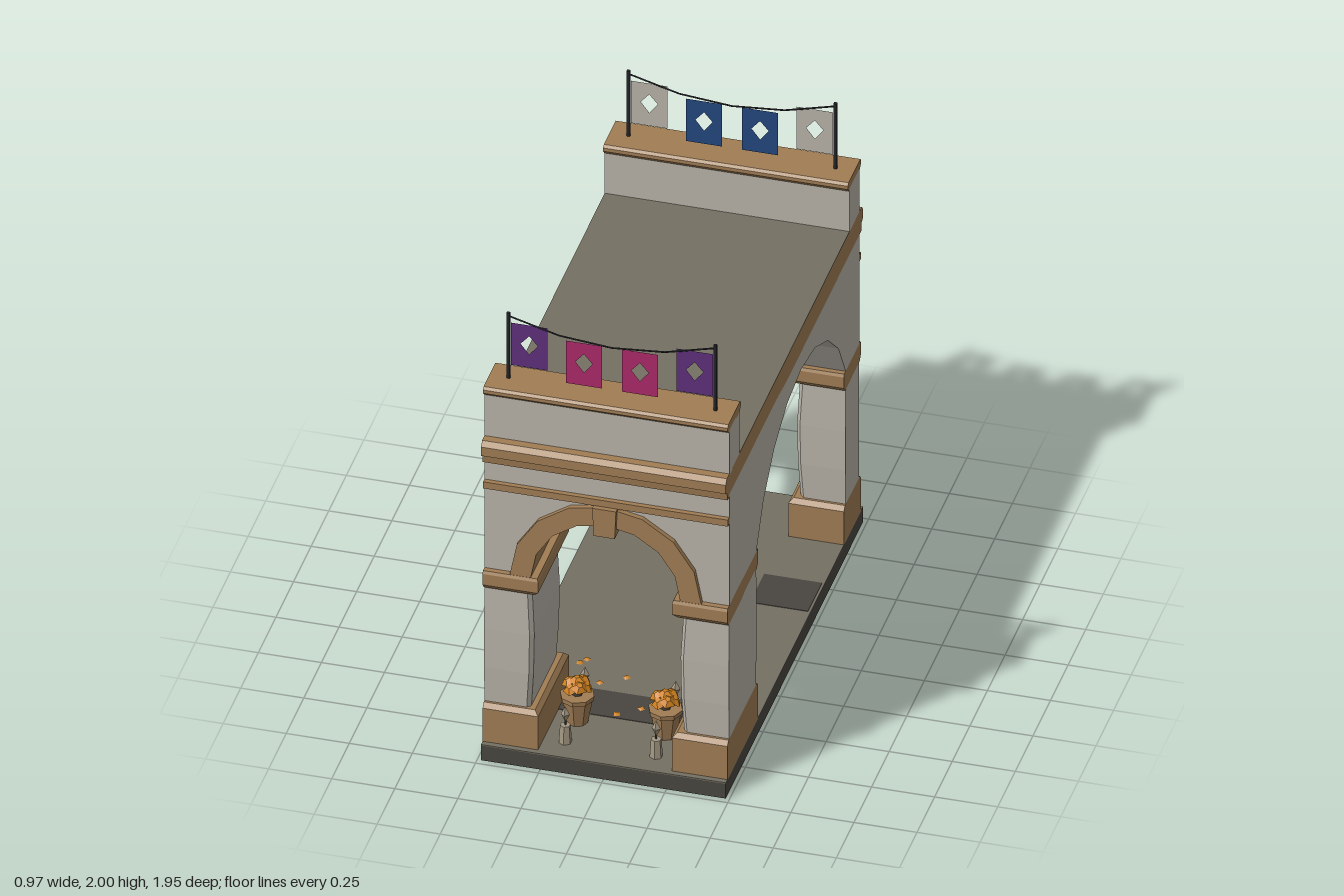
import * as THREE from 'three';

const D = THREE.DoubleSide;
const mat = (name, color, side = D) => {
  const m = new THREE.MeshStandardMaterial({ color, side });
  m.name = name;
  return m;
};

export function createModel() {
  const root = new THREE.Group();
  root.name = 'archway';
  const stone = mat('pale stone', 0xb8b3a9), tan = mat('tan trim', 0xa07d54);
  const dark = mat('dark stone', 0x494640), paving = mat('paving', 0x757063);
  const purple = mat('purple cloth', 0x5f307a), magenta = mat('magenta cloth', 0xac2a6a);
  const blue = mat('blue cloth', 0x24467e), iron = mat('black iron', 0x24242a);
  const orange = mat('orange petals', 0xd0821f), wax = mat('candle wax', 0xa39783);

  const W = 0.485, WALL = 0.925, SPRING = 0.855, TOP = 1.37;

  const add = (name, geo, material, x = 0, y = 0, z = 0, parent = root) => {
    const m = new THREE.Mesh(geo, material);
    m.name = name;
    m.position.set(x, y, z);
    parent.add(m);
    return m;
  };
  const box = (name, m, x, y, z, w, h, d) => add(name, new THREE.BoxGeometry(w, h, d), m, x, y, z);
  // flat-shaded surface from a list of four-cornered faces
  const quads = faces => {
    const p = [];
    for (const [a, b, c, d] of faces) p.push(...a, ...b, ...c, ...a, ...c, ...d);
    const g = new THREE.BufferGeometry();
    g.setAttribute('position', new THREE.Float32BufferAttribute(p, 3));
    g.computeVertexNormals();
    return g;
  };
  const shapeOf = pts => new THREE.Shape(pts.map(p => new THREE.Vector2(p[0], p[1])));
  // full-width moulding from a (z, y) profile
  const moulding = (name, profile, m) => {
    const g = new THREE.ExtrudeGeometry(shapeOf(profile.map(([z, y]) => [-z, y])), { depth: 2 * W, bevelEnabled: false });
    g.rotateY(Math.PI / 2);
    return add(name, g, m, -W, 0, 0);
  };

  // Plinth and paving
  box('plinth', dark, 0, 0.034, 0, 2 * W, 0.068, 1.95);
  box('paving', paving, 0, 0.07, 0, 2 * W, 0.005, 1.95);
  box('floorPatch', dark, 0.36, 0.073, -0.33, 0.23, 0.003, 0.2);
  box('floorPatch', dark, 0, 0.073, 0.58, 0.74, 0.003, 0.17);

  // Piers: stacked sections [y, inner x, z0, z1], inner corners chamfered by c
  const loft = (name, s, c, rows, m) => {
    const rings = rows.map(([y, x, z0, z1]) => [
      [W, z0], [x + c, z0], [x, z0 + c], [x, z1 - c], [x + c, z1], [W, z1],
    ].map(([px, pz]) => [s * px, y, pz]));
    const faces = [];
    for (let r = 0; r + 1 < rings.length; r++)
      for (let i = 0; i < 6; i++) {
        const j = (i + 1) % 6;
        faces.push([rings[r][i], rings[r + 1][i], rings[r + 1][j], rings[r][j]]);
      }
    const b = rings[0], t = rings[rings.length - 1];
    faces.push([b[0], b[1], b[2], b[3]], [b[0], b[3], b[4], b[5]]);
    faces.push([t[0], t[3], t[2], t[1]], [t[0], t[5], t[4], t[3]]);
    add(name, quads(faces), m);
  };
  for (const s of [-1, 1])
    for (const [n, z0, z1] of [['front', 0.54, 0.925], ['back', -0.92, -0.73]]) {
      loft(n + 'PierBase', s, 0, [[0.07, 0.265, z0 - 0.025, z1 + 0.027], [0.225, 0.265, z0 - 0.025, z1 + 0.027],
        [0.243, 0.282, z0 - 0.008, z1 + 0.01]], tan);
      loft(n + 'Pier', s, 0.015, [[0.24, 0.303, z0 + 0.005, z1], [0.4, 0.293, z0, z1 + 0.006],
        [0.58, 0.29, z0, z1 + 0.006], [0.78, 0.3, z0 + 0.002, z1]], stone);
      loft(n + 'Capital', s, 0, [[0.773, 0.285, z0 - 0.006, z1 + 0.01], [0.795, 0.265, z0 - 0.026, z1 + 0.028],
        [0.845, 0.265, z0 - 0.026, z1 + 0.028], [0.857, 0.27, z0 - 0.02, z1 + 0.022]], tan);
    }

  // Vault curves as half widths [offset, y] from foot to crown
  const ZC = -0.095, R = 0.687, CY = 1.28 - R, END = Math.acos((SPRING - CY) / R);
  const barrel = [], small = [];
  for (let i = 0; i <= 4; i++) {
    const a = END * (1 - i / 4), b = Math.PI / 8 * i;
    barrel.push([R * Math.sin(a), CY + R * Math.cos(a)]);
    small.push([0.297 * Math.cos(b), SPRING + 0.297 * Math.sin(b)]);
  }
  const halfAt = (curve, y) => {
    for (let i = 0; i + 1 < curve.length; i++) {
      const [a, ya] = curve[i], [b, yb] = curve[i + 1];
      if (y <= yb + 1e-6) return a + (b - a) * (y - ya) / (yb - ya);
    }
    return 0;
  };

  // Crossing vaults, each cut off where they meet
  const levels = [...barrel, ...small].map(p => p[1]).sort((a, b) => a - b)
    .filter((y, i, l) => i === 0 || y - l[i - 1] > 1e-4);
  const big = [], low = [];
  for (let i = 0; i + 1 < levels.length; i++) {
    const ya = levels[i], yb = levels[i + 1];
    const za = halfAt(barrel, ya), zb = halfAt(barrel, yb), xa = halfAt(small, ya), xb = halfAt(small, yb);
    for (const s of [-1, 1])
      for (const t of [-1, 1]) {
        big.push([[s * W, ya, ZC + t * za], [s * W, yb, ZC + t * zb], [s * xb, yb, ZC + t * zb], [s * xa, ya, ZC + t * za]]);
        if (yb <= SPRING + 0.298)
          low.push([[s * xa, ya, t * WALL], [s * xb, yb, t * WALL], [s * xb, yb, ZC + t * zb], [s * xa, ya, ZC + t * za]]);
      }
  }
  add('sideVault', quads(big), stone);
  add('endVault', quads(low), tan);

  // Outer walls with arched openings
  const arched = (half, curve, c) => shapeOf([
    [half, SPRING], [half, TOP], [-half, TOP], [-half, SPRING],
    ...curve.map(([d, y]) => [c - d, y]),
    ...curve.slice(0, -1).reverse().map(([d, y]) => [c + d, y]),
  ]);
  for (const s of [-1, 1]) {
    const side = add('sideWall', new THREE.ShapeGeometry(arched(WALL, barrel, -ZC)), stone, s * W, 0, 0);
    side.rotation.y = Math.PI / 2;
    add('endWall', new THREE.ShapeGeometry(arched(W, small, 0)), stone, 0, 0, s * WALL);
  }

  // Arch rings, keystone and string courses
  const ring = [];
  for (let i = 0; i <= 8; i++) ring.push([0.38 * Math.cos(Math.PI * i / 8), SPRING + 0.38 * Math.sin(Math.PI * i / 8)]);
  for (let i = 8; i >= 0; i--) ring.push([0.297 * Math.cos(Math.PI * i / 8), SPRING + 0.297 * Math.sin(Math.PI * i / 8)]);
  const ringGeo = new THREE.ExtrudeGeometry(shapeOf(ring), { depth: 0.025, bevelEnabled: false });
  add('frontArchRing', ringGeo, tan, 0, 0, 0.921);
  add('backArchRing', ringGeo, tan, 0, 0, -0.944);
  const key = shapeOf([[-0.042, 1.11], [0.042, 1.11], [0.047, 1.236], [-0.047, 1.236]]);
  add('keystone', new THREE.ExtrudeGeometry(key, { depth: 0.08, bevelEnabled: false }), tan, 0, 0, 0.885);
  for (const s of [-1, 1]) {
    box('stringCourse', tan, 0, 1.25, s * 0.932, 2 * W, 0.03, 0.026);
    // Parapet and its coping
    box('parapet', stone, 0, 1.56, s * 0.853, 2 * W, 0.21, 0.142);
    moulding('coping', [[0.778, 1.655], [0.925, 1.655], [0.947, 1.675], [0.947, 1.69], [0.937, 1.7],
      [0.77, 1.7], [0.76, 1.69], [0.76, 1.675]].map(([z, y]) => [s * z, y]), tan);
  }
  const cornice = [[0.95, 1.36], [0.955, 1.395], [0.975, 1.405], [0.975, 1.445], [0.958, 1.465]];
  moulding('cornice', [...cornice, ...cornice.map(([z, y]) => [-z, y]).reverse()], tan);
  box('roof', paving, 0, 1.465, 0, 2 * W, 0.004, 1.57);

  // Poles, sagging line and banners with a diamond cut-out
  const cloth = shapeOf([[-0.072, -0.195], [0.072, -0.195], [0.072, 0], [-0.072, 0]]);
  cloth.holes.push(new THREE.Path([[0, -0.05], [0.034, -0.09], [0, -0.135], [-0.034, -0.09]]
    .map(p => new THREE.Vector2(...p))));
  const clothGeo = new THREE.ShapeGeometry(cloth);
  const line = [[-0.41, 1.985], [-0.21, 1.93], [0, 1.911], [0.21, 1.93], [0.41, 1.985]];
  for (const [z, outer, inner] of [[0.853, purple, magenta], [-0.853, stone, blue]]) {
    for (const s of [-1, 1]) {
      add('bannerPole', new THREE.CylinderGeometry(0.008, 0.008, 0.31, 6), iron, s * 0.41, 1.845, z);
      add('outerBanner', clothGeo, outer, s * 0.328, 1.955, z);
      add('innerBanner', clothGeo, inner, s * 0.111, 1.912, z);
    }
    const path = new THREE.CurvePath();
    for (let i = 0; i < 4; i++)
      path.add(new THREE.LineCurve3(new THREE.Vector3(...line[i], z), new THREE.Vector3(...line[i + 1], z)));
    add('bannerLine', new THREE.TubeGeometry(path, 16, 0.004, 4), iron);
  }

  // Flower pots
  const flat = g => { const f = g.toNonIndexed(); f.computeVertexNormals(); return f; };
  const petal = flat(new THREE.OctahedronGeometry(0.034).scale(1, 0.4, 0.8).toNonIndexed?.() ? new THREE.CylinderGeometry(0.012, 0.034, 0.018, 5) : null);
  const potGeo = flat(new THREE.CylinderGeometry(0.064, 0.043, 0.12, 8));
  const rimGeo = flat(new THREE.CylinderGeometry(0.068, 0.066, 0.02, 8));
  for (const s of [-1, 1]) {
    const pot = new THREE.Group();
    pot.name = 'flowerPot';
    pot.position.set(s * 0.175, 0.072, 0.72);
    root.add(pot);
    add('pot', potGeo, tan, 0, 0.06, 0, pot);
    add('potRim', rimGeo, tan, 0, 0.115, 0, pot);
    add('stems', new THREE.CylinderGeometry(0.035, 0.02, 0.06, 6), dark, 0, 0.145, 0, pot);
    for (let i = 0; i < 7; i++) {
      const a = i * Math.PI / 3, r = i < 6 ? 0.036 : 0;
      const p = add('flower', petal, orange, r * Math.cos(a), i < 6 ? 0.17 + 0.012 * (i % 2) : 0.195, r * Math.sin(a), pot);
      p.rotation.set(0.5 * Math.sin(a) * (r ? 1 : 0), 0, -0.5 * Math.cos(a) * (r ? 1 : 0));
    }
  }

  // Candles
  const candleGeo = flat(new THREE.CylinderGeometry(0.021, 0.026, 0.08, 6));
  const flameGeo = new THREE.OctahedronGeometry(0.018).scale(1, 2, 1);
  for (const s of [-1, 1])
    for (const [x, z] of [[0.18, 0.87], [0.18, 0.59], [0.37, 0.455]]) {
      add('candle', candleGeo, wax, s * x, 0.112, z);
      add('wick', new THREE.CylinderGeometry(0.004, 0.004, 0.025, 4), dark, s * x, 0.16, z);
      add('flame', flameGeo, wax, s * x, 0.2, z);
    }

  // Fallen petals
  const fallen = [[0.04, 0.58], [-0.04, 0.64], [0.18, 0.39], [-0.07, 0.39], [-0.27, 0.34], [-0.25, 0.31], [0.32, 0.25], [0.09, 0.48], [-0.16, 0.45]];
  fallen.forEach(([x, z], i) => {
    add('fallenPetal', new THREE.CylinderGeometry(0.008, 0.017, 0.006, 4), orange, x, 0.077, z).rotation.y = i;
  });
  return root;
}
